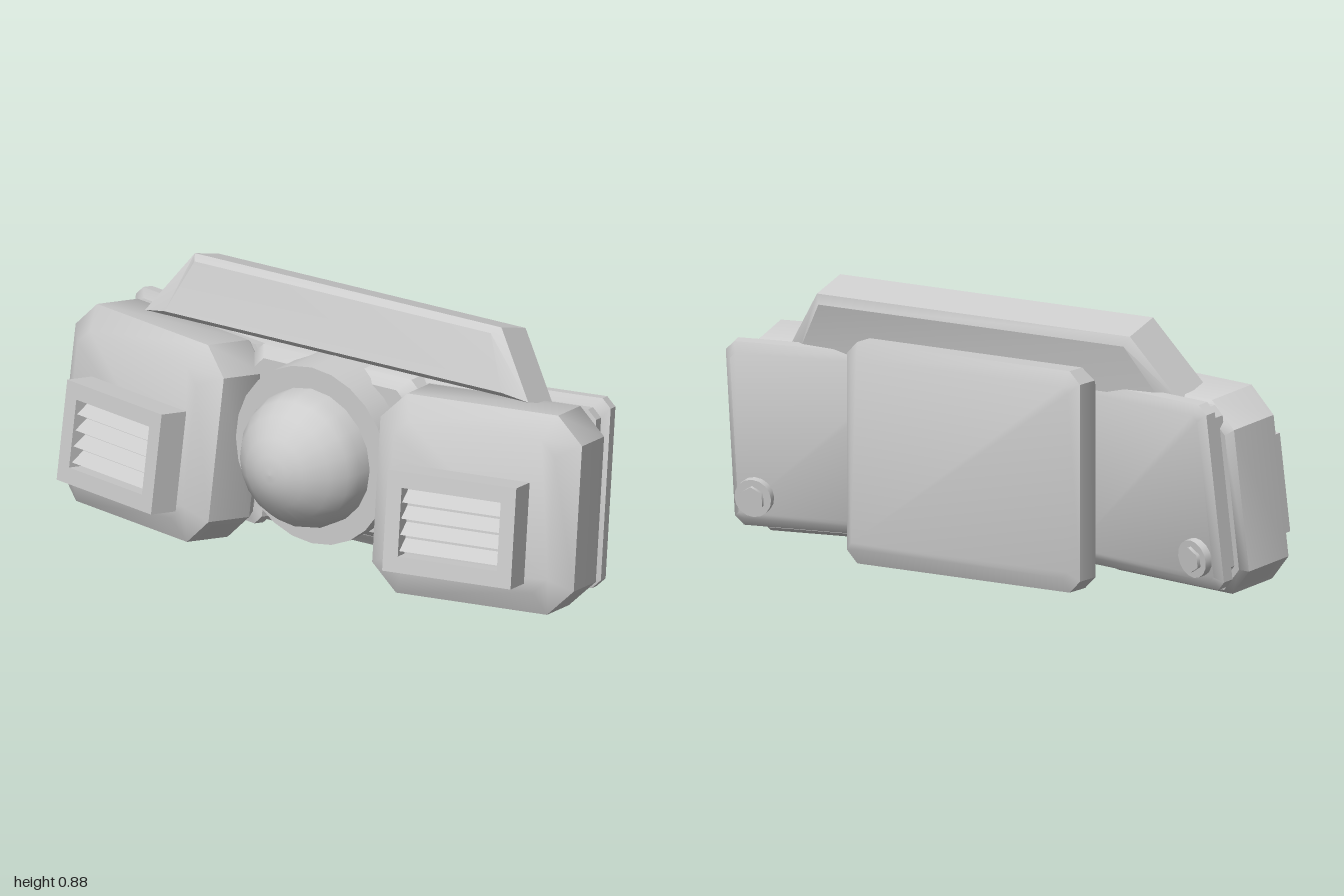
import * as THREE from 'three';
import { toCreasedNormals } from 'three/addons/utils/BufferGeometryUtils.js';

const grey = new THREE.MeshStandardMaterial({ color: 0xcccccc });
grey.name = 'plain grey';

function add(parent, name, geometry, x = 0, y = 0, z = 0) {
  const mesh = new THREE.Mesh(geometry, grey);
  mesh.name = name;
  mesh.position.set(x, y, z);
  parent.add(mesh);
  return mesh;
}

// Closed solid through counter-clockwise outlines, listed from back to front
function loft(sections) {
  const pos = [], index = [], n = sections[0].points.length;
  for (const { z, points } of sections) for (const [x, y] of points) pos.push(x, y, z);
  for (let i = 0; i < sections.length - 1; i++) {
    for (let j = 0; j < n; j++) {
      const a = i * n + j, b = i * n + (j + 1) % n;
      index.push(a, b, b + n, a, b + n, a + n);
    }
  }
  const f = (sections.length - 1) * n;
  for (let j = 1; j < n - 1; j++) index.push(0, j + 1, j, f, f + j, f + j + 1);
  const g = new THREE.BufferGeometry();
  g.setAttribute('position', new THREE.Float32BufferAttribute(pos, 3));
  g.setIndex(index);
  return toCreasedNormals(g, 0.7);
}

// Rectangle with cut corners: half width, half height, corner cut
const octagon = (w, h, c) => [
  [w, -h + c], [w, h - c], [w - c, h], [-w + c, h],
  [-w, h - c], [-w, -h + c], [-w + c, -h], [w - c, -h],
];
const block = (rings) => loft(rings.map(([z, w, h, c]) => ({ z, points: octagon(w, h, c) })));

// Symmetric trapezoid: bottom, top, half width at bottom and at top
const trapezoid = (b, t, wb, wt) => [[wb, b], [wt, t], [-wt, t], [-wb, b]];

function rectangle(Type, w, h) {
  const r = new Type();
  r.moveTo(-w, -h);
  r.lineTo(w, -h);
  r.lineTo(w, h);
  r.lineTo(-w, h);
  r.closePath();
  return r;
}

// Side pod with vent, back plate and bolt; s is +1 for left, -1 for right
function sidePod(s) {
  const pod = new THREE.Group();
  pod.name = s > 0 ? 'leftPod' : 'rightPod';
  pod.rotation.order = 'YXZ';
  pod.rotation.set(-0.14, s * 0.21, 0);
  pod.position.set(s * 0.64, 0.35, 0.017);

  add(pod, 'podBody', block([
    [-0.128, 0.335, 0.305, 0.08], [-0.1, 0.35, 0.325, 0.088],
    [0.077, 0.35, 0.325, 0.088], [0.128, 0.28, 0.25, 0.05],
  ]));

  add(pod, 'backPlate', block([
    [-0.225, 0.318, 0.28, 0.02], [-0.203, 0.34, 0.31, 0.03],
    [-0.165, 0.34, 0.31, 0.03], [-0.15, 0.315, 0.28, 0.03],
    [-0.11, 0.315, 0.28, 0.03],
  ]), 0, 0.035, 0);

  // Vent housing with recessed slats
  const vent = new THREE.Group();
  vent.name = 'vent';
  vent.position.set(s * -0.025, -0.058, 0);
  pod.add(vent);
  add(vent, 'ventBase', new THREE.BoxGeometry(0.446, 0.33, 0.08), 0, 0, 0.14);
  const rim = rectangle(THREE.Shape, 0.223, 0.165);
  rim.holes.push(rectangle(THREE.Path, 0.172, 0.112));
  add(vent, 'ventFrame',
    new THREE.ExtrudeGeometry(rim, { depth: 0.055, bevelEnabled: false }), 0, 0, 0.18);
  const wedge = new THREE.Shape([[0, -0.013], [0, 0.022], [-0.045, -0.013]]
    .map(([x, y]) => new THREE.Vector2(x, y)));
  for (let i = 0; i < 4; i++) {
    const slat = new THREE.ExtrudeGeometry(wedge, { depth: 0.344, bevelEnabled: false });
    slat.rotateY(Math.PI / 2);
    add(vent, 'ventSlat', slat, -0.172, -0.083 + i * 0.053, 0.18);
  }

  // Bolt on the back plate
  const washer = new THREE.CylinderGeometry(0.063, 0.063, 0.03, 16).rotateX(Math.PI / 2);
  add(pod, 'boltWasher', washer, s * 0.255, -0.165, -0.237);
  const head = new THREE.CylinderGeometry(0.042, 0.042, 0.03, 6).rotateX(Math.PI / 2);
  add(pod, 'boltHead', head, s * 0.255, -0.165, -0.25);
  return pod;
}

export function createModel() {
  const model = new THREE.Group();
  model.name = 'lampUnit';

  for (const s of [1, -1]) model.add(sidePod(s));

  // Central back box and the housing in front of it
  add(model, 'backBox', block([
    [-0.332, 0.415, 0.31, 0.02], [-0.308, 0.447, 0.36, 0.04],
    [-0.22, 0.447, 0.36, 0.04], [-0.18, 0.42, 0.315, 0.04],
  ]), 0, 0.36, 0);
  add(model, 'centreHousing', block([
    [-0.2, 0.34, 0.28, 0.05], [-0.06, 0.34, 0.28, 0.05], [-0.02, 0.3, 0.25, 0.04],
  ]), 0, 0.38, 0);

  // Round collar and domed lens
  add(model, 'lensCollar',
    new THREE.CylinderGeometry(0.297, 0.297, 0.25, 24).rotateX(Math.PI / 2), 0, 0.385, -0.045);
  const profile = [[0.228, 0.06], [0.225, 0.13], [0.21, 0.175], [0.175, 0.228],
    [0.115, 0.28], [0.06, 0.302], [0.028, 0.308], [0, 0.31]];
  const dome = new THREE.LatheGeometry(profile.map(([r, y]) => new THREE.Vector2(r, y)), 20);
  add(model, 'lensDome', dome.rotateX(Math.PI / 2), 0, 0.383, 0);

  // Bevelled bar leaning back across the top
  const bar = add(model, 'topBar', loft([
    { z: -0.098, points: trapezoid(-0.1, 0.075, 0.69, 0.585) },
    { z: -0.075, points: trapezoid(-0.113, 0.101, 0.75, 0.6) },
    { z: 0.063, points: trapezoid(-0.113, 0.101, 0.75, 0.6) },
    { z: 0.088, points: trapezoid(-0.1, 0.078, 0.66, 0.58) },
  ]), 0, 0.77, -0.15);
  bar.rotation.x = -0.296;

  return model;
}
